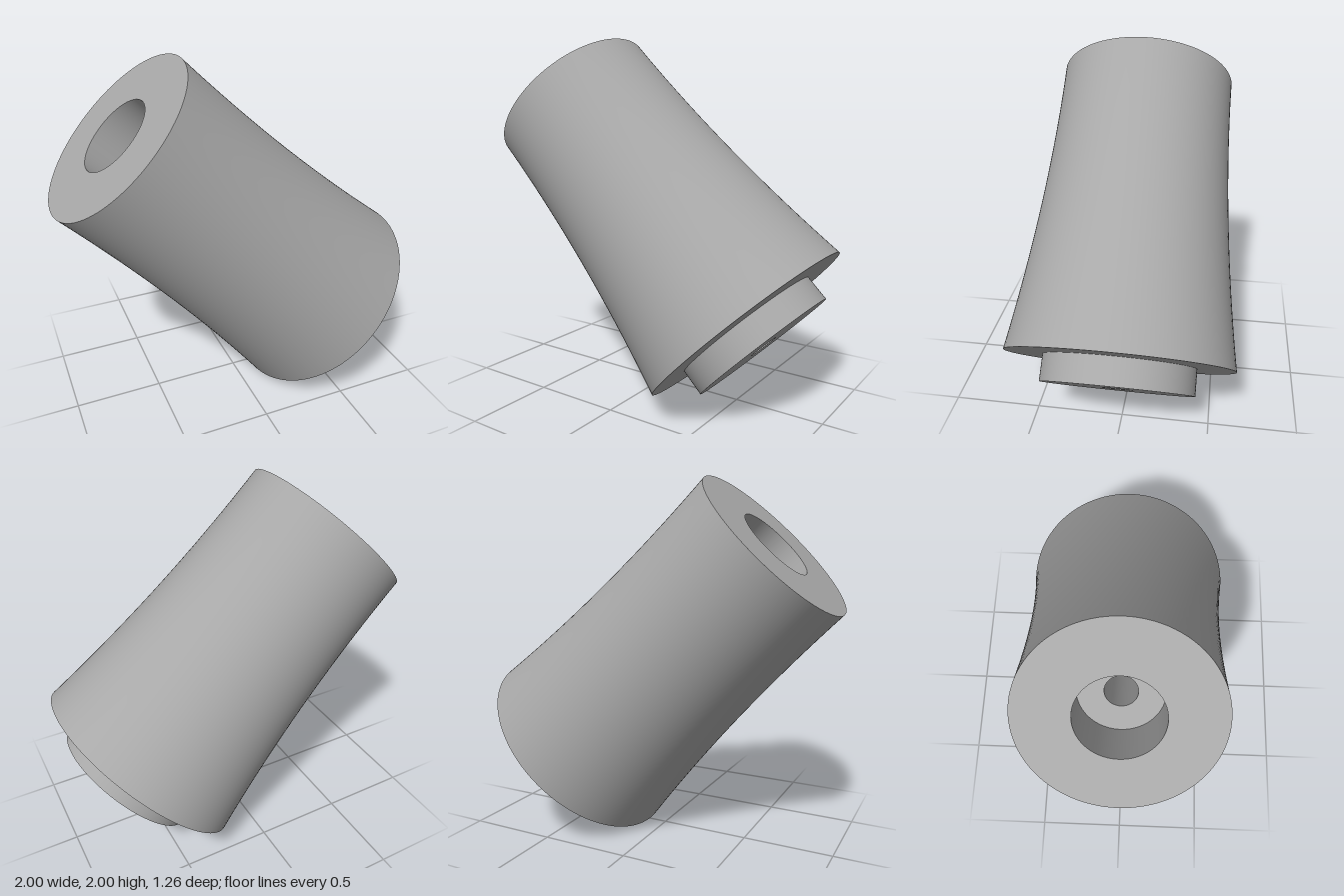
import * as THREE from 'three';

export function createModel() {
  const model = new THREE.Group();
  model.name = 'tiltedSpacer';
  const grey = new THREE.MeshStandardMaterial({ color: 0xa8a8a8 });
  grey.name = 'plain grey';

  const length = 1.69, topR = 0.505, baseR = 0.631;
  const bossR = 0.421, bossEnd = -0.145;
  const boreR = 0.084, socketR = 0.22, socketFloor = length - 0.25;

  // Each surface is its own lathe, so edges between them stay sharp
  const surface = (name, points) => {
    const profile = points.map(([r, y]) => new THREE.Vector2(r, y));
    const mesh = new THREE.Mesh(new THREE.LatheGeometry(profile, 96), grey);
    mesh.name = name;
    model.add(mesh);
  };

  // Flared side, tangent to the axis at the narrow end
  const flare = [];
  for (let i = 0; i <= 24; i++) {
    const t = i / 24;
    flare.push([topR + (baseR - topR) * (1 - t) ** 2, length * t]);
  }

  // Profile runs from the boss face, up the outside, and back down the bore
  surface('bossFace', [[boreR, bossEnd], [bossR, bossEnd]]);
  surface('bossSide', [[bossR, bossEnd], [bossR, 0]]);
  surface('baseFace', [[bossR, 0], [baseR, 0]]);
  surface('flaredBody', flare);
  surface('topFace', [[topR, length], [socketR, length]]);
  surface('socketWall', [[socketR, length], [socketR, socketFloor]]);
  surface('socketFloor', [[socketR, socketFloor], [boreR, socketFloor]]);
  surface('boreWall', [[boreR, socketFloor], [boreR, bossEnd]]);

  // Lean the axis over to the right, resting on the rim of the base
  model.rotation.z = Math.PI / 4;
  model.position.set(0.553, baseR * Math.SQRT1_2, 0);

  const root = new THREE.Group();
  root.name = 'model';
  root.add(model);
  return root;
}
